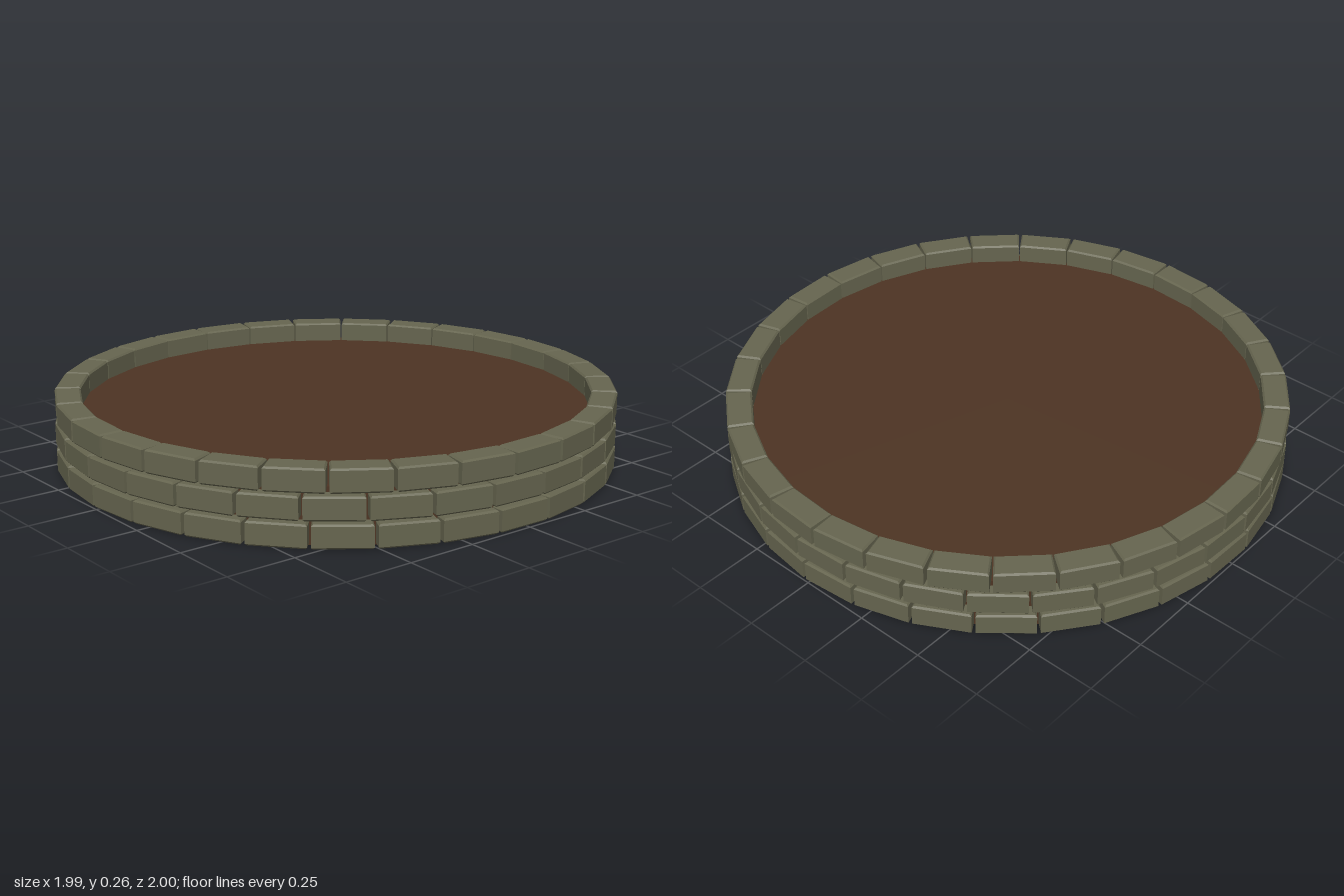
import * as THREE from 'three';

const BRICKS = 30;
const OUTER = 0.993;
const INNER = 0.902;

// One wedge-shaped stone with chamfered edges, its outer face towards +z
function brickGeometry(height) {
  const b = 0.006;
  const wo = 0.098 - b, wi = 0.093 - b;
  const shape = new THREE.Shape([
    new THREE.Vector2(-wo, -(OUTER - b)),
    new THREE.Vector2(wo, -(OUTER - b)),
    new THREE.Vector2(wi, -(INNER + b)),
    new THREE.Vector2(-wi, -(INNER + b)),
  ]);
  const geo = new THREE.ExtrudeGeometry(shape, {
    depth: height - 2 * b, bevelEnabled: true,
    bevelThickness: b, bevelSize: b, bevelSegments: 1,
  });
  geo.translate(0, 0, b);
  geo.rotateX(-Math.PI / 2);
  return geo;
}

export function createModel() {
  const model = new THREE.Group();
  model.name = 'raisedBed';
  const stone = new THREE.MeshStandardMaterial({ color: 0x66654f });
  stone.name = 'mossy stone';
  const soilBrown = new THREE.MeshStandardMaterial({ color: 0x4d3423 });
  soilBrown.name = 'soil brown';

  // Soil filling the ring
  const soil = new THREE.Mesh(new THREE.CylinderGeometry(0.95, 0.95, 0.193, 60), soilBrown);
  soil.name = 'soil';
  soil.position.y = 0.0985;
  model.add(soil);

  // Three staggered courses; seam is the angle of one joint in degrees
  const courses = [
    { name: 'bottomCourse', y: 0.004, seam: -1 },
    { name: 'middleCourse', y: 0.095, seam: -2.5 + 12 },
    { name: 'topCourse', y: 0.185, seam: 2.3 },
  ];
  const geo = brickGeometry(0.081);
  const step = (Math.PI * 2) / BRICKS;
  for (const { name, y, seam } of courses) {
    const course = new THREE.Group();
    course.name = name;
    course.position.y = y;
    for (let i = 0; i < BRICKS; i++) {
      const brick = new THREE.Mesh(geo, stone);
      brick.name = 'brick';
      brick.rotation.y = THREE.MathUtils.degToRad(seam) + (i + 0.5) * step;
      course.add(brick);
    }
    model.add(course);
  }
  return model;
}
